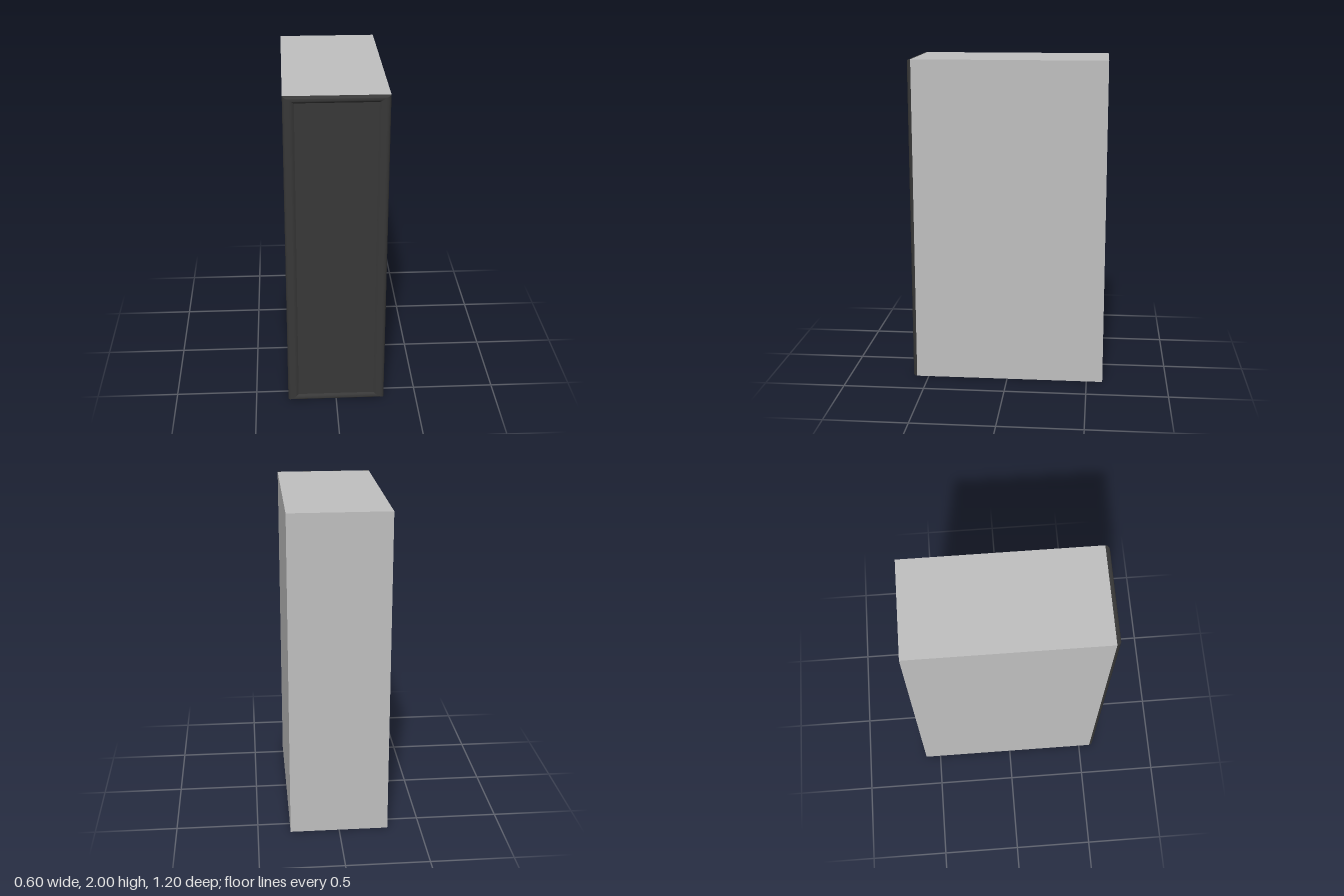
import * as THREE from 'three';

export function createModel() {
  const model = new THREE.Group();
  const casing = new THREE.MeshStandardMaterial({ name: 'light grey casing', color: 0xc0c0c0, side: THREE.DoubleSide });
  const dark = new THREE.MeshStandardMaterial({ name: 'dark grey front', color: 0x383838, side: THREE.DoubleSide });

  const W = 0.3, H = 2, BACK = -0.6, RIM = 0.575;
  const depth = RIM - BACK, midZ = (RIM + BACK) / 2;

  // Casing: thin open shell without a floor
  function panel(name, w, h, position, rotation) {
    const mesh = new THREE.Mesh(new THREE.PlaneGeometry(w, h), casing);
    mesh.name = name;
    mesh.position.set(...position);
    mesh.rotation.set(...rotation);
    model.add(mesh);
  }
  panel('leftSide', depth, H, [W, H / 2, midZ], [0, Math.PI / 2, 0]);
  panel('rightSide', depth, H, [-W, H / 2, midZ], [0, -Math.PI / 2, 0]);
  panel('backSide', 2 * W, H, [0, H / 2, BACK], [0, Math.PI, 0]);
  panel('topSide', 2 * W, depth, [0, H, midZ], [-Math.PI / 2, 0, 0]);

  // Front frame profile: side inset, top and bottom inset, z
  const profile = [[0, 0, RIM]];
  for (let i = 1; i <= 6; i++) {
    const a = (i / 6) * Math.PI / 2;
    profile.push([0.028 * (1 - Math.cos(a)), 0.012 * (1 - Math.cos(a)), RIM + 0.025 * Math.sin(a)]);
  }
  profile.push([0.045, 0.024, 0.6], [0.055, 0.031, 0.596], [0.065, 0.038, 0.588]);

  // Four mitred sides, each smooth along its profile
  const corners = [[-1, -1], [1, -1], [1, 1], [-1, 1]];
  const point = ([sx, sy], [ix, iy, z]) => [sx * (W - ix), H / 2 + sy * (H / 2 - iy), z];
  const frame = new THREE.Group();
  frame.name = 'frontFrame';
  ['bottom', 'left', 'top', 'right'].forEach((side, k) => {
    const positions = [], index = [];
    profile.forEach((p, i) => {
      positions.push(...point(corners[k], p), ...point(corners[(k + 1) % 4], p));
      if (i > 0) {
        const a = 2 * i - 2;
        index.push(a, a + 1, a + 3, a, a + 3, a + 2);
      }
    });
    const geometry = new THREE.BufferGeometry();
    geometry.setAttribute('position', new THREE.Float32BufferAttribute(positions, 3));
    geometry.setIndex(index);
    geometry.computeVertexNormals();
    const mesh = new THREE.Mesh(geometry, dark);
    mesh.name = side + 'Frame';
    frame.add(mesh);
  });
  model.add(frame);

  // Recessed front panel
  const [ix, iy, z] = profile[profile.length - 1];
  const front = new THREE.Mesh(new THREE.PlaneGeometry(2 * (W - ix), H - 2 * iy), dark);
  front.name = 'frontPanel';
  front.position.set(0, H / 2, z);
  model.add(front);

  return model;
}
